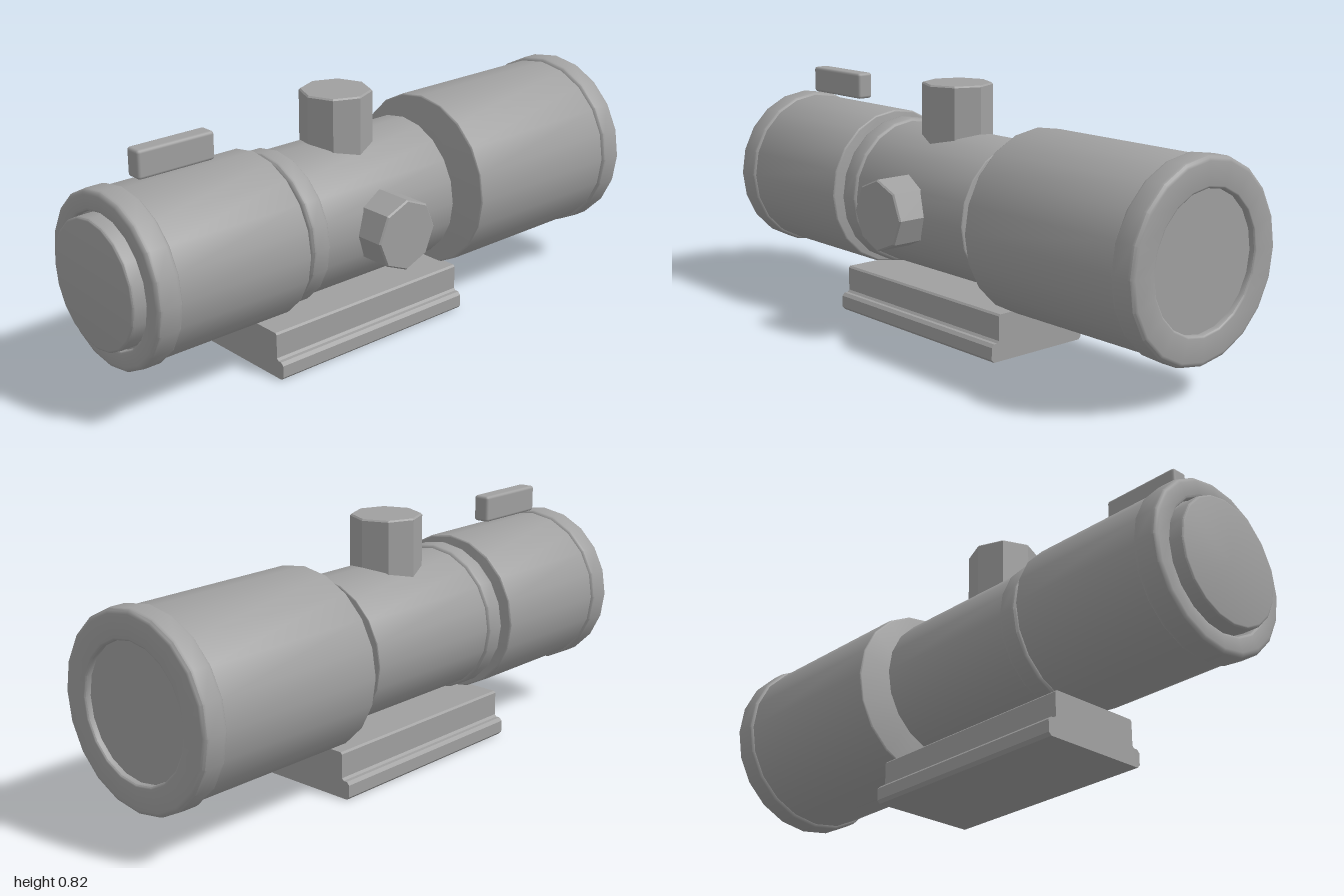
import * as THREE from 'three';
import { toCreasedNormals } from 'three/addons/utils/BufferGeometryUtils.js';
import { RoundedBoxGeometry } from 'three/addons/geometries/RoundedBoxGeometry.js';

const AXIS_X = -0.016, AXIS_Y = 0.424, KNOB_Z = 0.071;

// Quarter-round corner: centre (r, y), radius b, from angle a0 to a0 + 90 degrees
function corner(r, y, b, a0, steps = 3) {
  return Array.from({ length: steps + 1 }, (_, i) => {
    const a = a0 + (i / steps) * Math.PI / 2;
    return [r + b * Math.cos(a), y + b * Math.sin(a)];
  });
}

// Solid of revolution about y with smooth sides and crisp edges
function turned(profile, sides) {
  const points = profile.map(([r, y]) => new THREE.Vector2(Math.max(r, 0), y));
  return toCreasedNormals(new THREE.LatheGeometry(points, sides), 0.55);
}

// Closed cylinder profile from y0 to y1 with softened edges
function drum(r, y0, y1, b) {
  return [[0, y0], ...corner(r - b, y0 + b, b, -Math.PI / 2),
    ...corner(r - b, y1 - b, b, 0), [0, y1]];
}

// Rim profile: softened ring whose upper face has a shallow round recess
function rim(r, inner, y0, y1, b, depth) {
  return [[0, y0], ...corner(r - b, y0 + b, b, -Math.PI / 2),
    ...corner(r - b, y1 - b, b, 0), ...corner(inner + b / 2, y1 - b / 2, b / 2, Math.PI / 2),
    [inner, y1 - depth], [0, y1 - depth]];
}

export function createModel() {
  const model = new THREE.Group();
  const grey = new THREE.MeshStandardMaterial({ color: 0xa0a0a0 });
  grey.name = 'matte grey';

  function add(name, geometry, x, y, z) {
    const mesh = new THREE.Mesh(geometry, grey);
    mesh.name = name;
    mesh.position.set(x, y, z);
    model.add(mesh);
    return mesh;
  }
  // Part turned about the long axis of the scope; dir -1 faces the back
  const along = (name, profile, dir = 1) =>
    add(name, turned(profile, 20).rotateX(dir * Math.PI / 2), AXIS_X, AXIS_Y, 0);

  // Front section
  along('frontLens', drum(0.205, 0.9, 1, 0.008));
  along('frontRim', rim(0.277, 0.212, 0.875, 0.962, 0.016, 0.025));
  along('frontBody', drum(0.268, 0.402, 0.89, 0.006));

  // Middle section
  along('middleCollar', drum(0.25, 0.307, 0.379, 0.014));
  along('middleBody', drum(0.24, -0.228, 0.32, 0.004));

  // Rear section
  along('rearBody', drum(0.296, -0.92, -0.306, 0.006));
  along('rearRim', rim(0.306, 0.212, 0.915, 1, 0.016, 0.02), -1);

  // Octagonal adjustment knobs on top and on the left side
  const knob = (length) => turned([[0, 0], [0.117, 0], [0.117, length - 0.005],
    [0.112, length], [0, length]], 8);
  add('topKnob', knob(0.242), AXIS_X, 0.58, KNOB_Z);
  add('sideKnob', knob(0.15).rotateZ(-Math.PI / 2), 0.17, AXIS_Y, KNOB_Z);

  // Sight bar above the front section
  add('sightBar', new RoundedBoxGeometry(0.058, 0.09, 0.272, 2, 0.01), AXIS_X, 0.757, 0.705);

  // Stepped mounting rail
  const half = [[0.185, 0], [0.195, 0.01], [0.195, 0.05], [0.185, 0.06],
    [0.172, 0.06], [0.165, 0.067], [0.165, 0.146], [0.159, 0.152]];
  const outline = [...half, ...half.map(([x, y]) => [-x, y]).reverse()];
  const shape = new THREE.Shape(outline.map(([x, y]) => new THREE.Vector2(x, y)));
  const rail = new THREE.ExtrudeGeometry(shape, { depth: 0.782, bevelEnabled: false });
  add('mountRail', rail, AXIS_X, 0, -0.32);

  return model;
}
